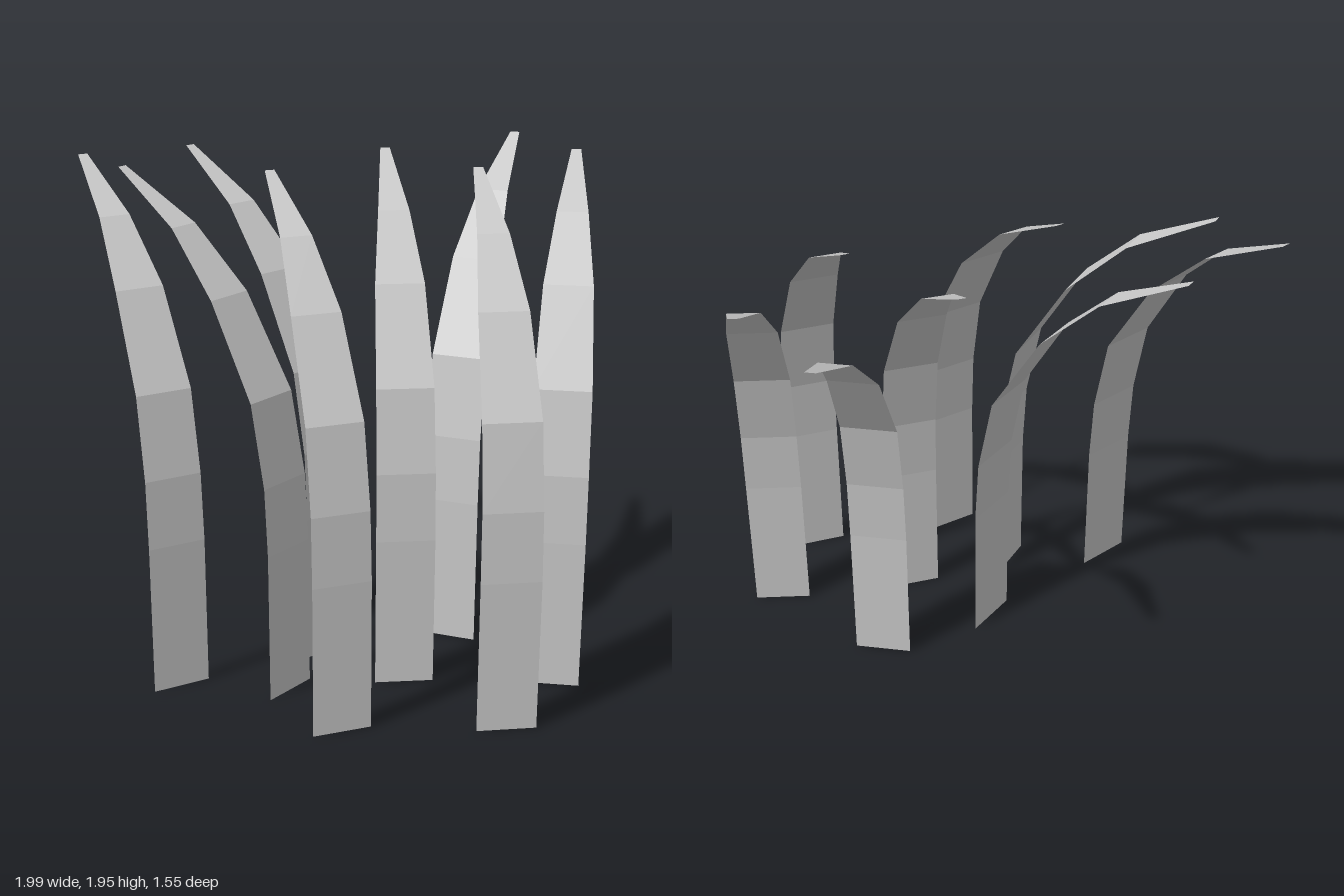
import * as THREE from 'three';

// Blade cross-sections from root to tip: [height, backward bend, width]
const SECTIONS = [
  [0, 0, 0.228],
  [0.6, 0.002, 0.228],
  [0.87, 0.017, 0.225],
  [1.19, 0.08, 0.22],
  [1.54, 0.285, 0.19],
  [1.77, 0.515, 0.122],
  [1.95, 0.84, 0.038],
];

// Root position and heading of each blade: [x, z, turn in degrees]
const BLADES = [
  [-0.65, 0.325, 23.1],
  [-0.229, 0.395, 44.5],
  [-0.05, 0.07, 37.2],
  [-0.055, 0.732, 14.2],
  [0.22, 0.367, 0],
  [0.557, 0.768, 1.7],
  [0.445, -0.006, -25],
  [0.785, 0.436, -13.3],
];

// A flat strip, bent backward and tapered towards the tip
function bladeGeometry() {
  const rows = SECTIONS.length - 1;
  const geometry = new THREE.PlaneGeometry(1, 1, 1, rows);
  const pos = geometry.attributes.position;
  for (let i = 0; i < pos.count; i++) {
    const [y, bend, width] = SECTIONS[rows - Math.floor(i / 2)];
    pos.setXYZ(i, pos.getX(i) * width, y, -bend);
  }
  geometry.computeVertexNormals();
  return geometry;
}

export function createModel() {
  const group = new THREE.Group();
  group.name = 'grassTuft';
  const geometry = bladeGeometry();
  const material = new THREE.MeshStandardMaterial({
    color: 0xcccccc, flatShading: true, side: THREE.DoubleSide,
  });
  BLADES.forEach(([x, z, turn], i) => {
    const blade = new THREE.Mesh(geometry, material);
    blade.name = `grassBlade${i + 1}`;
    blade.position.set(x, 0, z);
    blade.rotation.y = THREE.MathUtils.degToRad(turn);
    group.add(blade);
  });
  return group;
}
